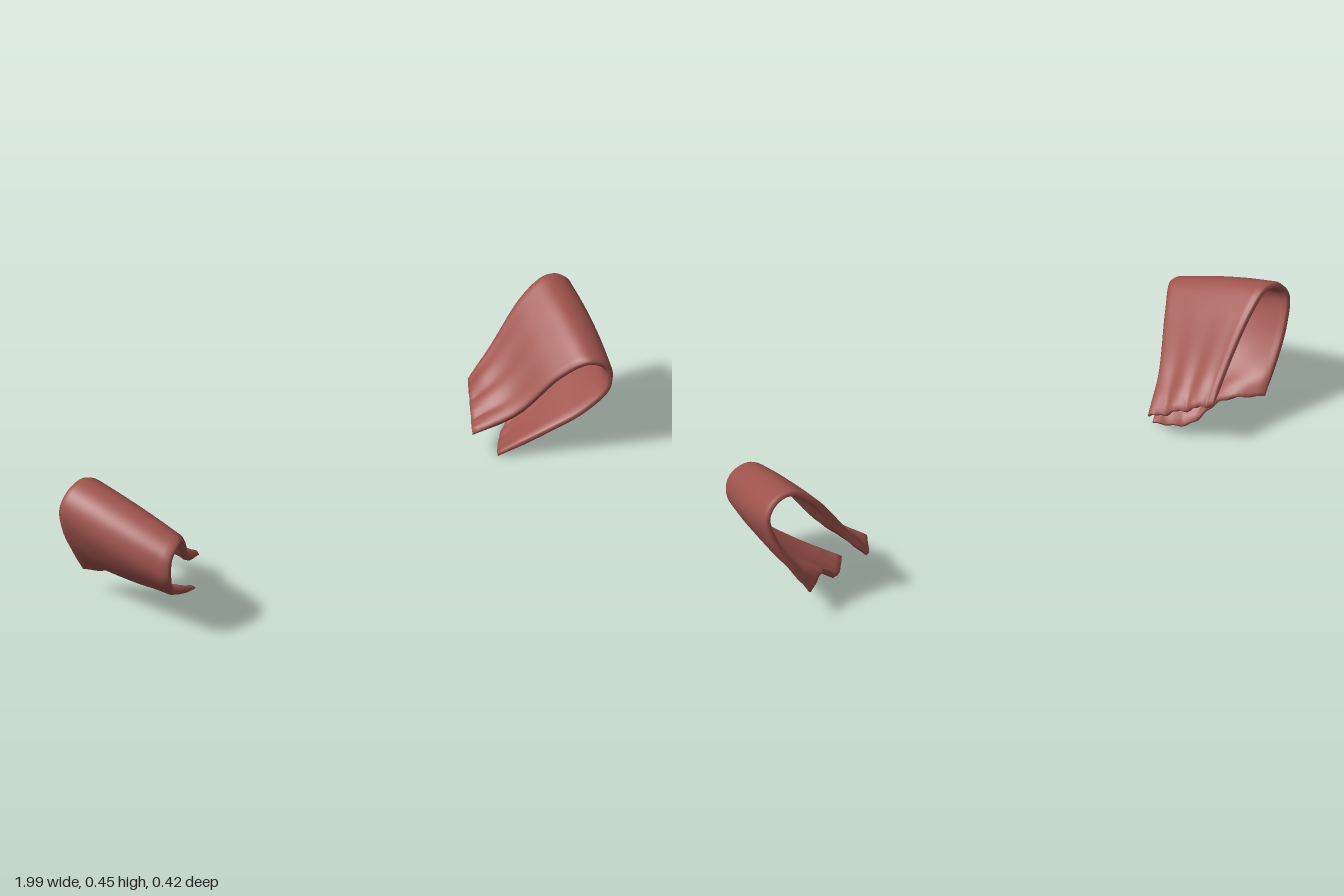
import * as THREE from 'three';

// Edge lines of one folded cloth, from the outer flap's hem over the crest to the inner flap's hem
const frontEdge = [
  [0.59, 0.015, 0], [0.71, 0.085, 0.08], [0.80, 0.155, 0.15], [0.855, 0.24, 0.2], [0.85, 0.305, 0.2],
  [0.80, 0.335, 0.18], [0.735, 0.285, 0.12], [0.64, 0.15, 0.03], [0.535, 0.085, -0.05],
];
const backEdge = [
  [0.862, 0.10, -0.195], [0.91, 0.19, -0.185], [0.965, 0.295, -0.165], [0.985, 0.385, -0.152], [0.955, 0.43, -0.15],
  [0.90, 0.443, -0.155], [0.83, 0.395, -0.17], [0.72, 0.25, -0.19], [0.655, 0.16, -0.21],
];
// Outward swell of the cloth between the two edges, in x and y
const swell = [[0, 0], [0.01, -0.006], [0.012, -0.006], [0.012, 0], [0.008, 0.005], [0, 0.006], [0, 0.004], [0, 0], [0, 0]];
const vec = (p) => new THREE.Vector3(...p);

function between(t) {
  return frontEdge.map((p, i) => {
    const q = vec(p).lerp(vec(backEdge[i]), t);
    q.x += swell[i][0];
    q.y += swell[i][1];
    return q;
  });
}

// Stations from front to back; the outer hem has a notch near the back
const stations = [frontEdge.map(vec), between(1 / 3), between(2 / 3), backEdge.map(vec)];
stations[1][0].set(0.665, 0.018, -0.075);
stations[2][0].set(0.75, 0.085, -0.115);
const curves = stations.map((pts) => new THREE.CatmullRomCurve3(pts));

function surface(u, v) {
  const line = new THREE.CatmullRomCurve3(curves.map((c) => c.getPoint(u)));
  const p = line.getPoint(v);
  // soft folds on the inner flap and slight unevenness at the hems
  const inner = THREE.MathUtils.smoothstep(u, 0.72, 1);
  p.y += 0.005 * inner * Math.sin(v * 19);
  const hem = THREE.MathUtils.smoothstep(Math.abs(u - 0.5), 0.44, 0.5);
  p.y += 0.003 * hem * Math.sin(v * 41);
  return p;
}

function foldGeometry(side) {
  const rows = 64;
  const vs = [0, 0.015, 0.04];
  for (let k = 1; k < 24; k++) vs.push(0.04 + (0.92 * k) / 24);
  vs.push(0.96, 0.985, 1);
  const n = vs.length, ring = 2 * n, e = 0.004;
  const pos = [], index = [];
  const tri = (a, b, c) => (side > 0 ? index.push(a, b, c) : index.push(a, c, b));
  for (let i = 0; i <= rows; i++) {
    const u = i / rows;
    const outer = [], inner = [];
    vs.forEach((v) => {
      const p = surface(u, v);
      const du = surface(Math.min(1, u + e), v).sub(surface(Math.max(0, u - e), v));
      const dv = surface(u, Math.min(1, v + e)).sub(surface(u, Math.max(0, v - e)));
      const normal = dv.cross(du).normalize();
      // thickness rounds off at the rims and thins at the hems
      const rim = Math.min(1, 0.45 + Math.min(v, 1 - v) * 14);
      const half = 0.012 * rim * Math.min(1, 0.5 + Math.min(u, 1 - u) * 8);
      outer.push(p.clone().addScaledVector(normal, half));
      inner.push(p.clone().addScaledVector(normal, -half));
    });
    [...outer, ...inner.reverse()].forEach((p) => pos.push(side * p.x, Math.max(0, p.y), p.z));
  }
  for (let i = 0; i < rows; i++) {
    for (let j = 0; j < ring; j++) {
      const k = (j + 1) % ring;
      const a = i * ring + j, b = i * ring + k, c = b + ring, d = a + ring;
      tri(a, b, c);
      tri(a, c, d);
    }
  }
  // Close both hems
  for (let j = 0; j < n - 1; j++) {
    const m = ring - 1 - j, top = rows * ring;
    tri(j, m, j + 1);
    tri(m, m - 1, j + 1);
    tri(top + j, top + j + 1, top + m);
    tri(top + m, top + j + 1, top + m - 1);
  }
  const g = new THREE.BufferGeometry();
  g.setAttribute('position', new THREE.Float32BufferAttribute(pos, 3));
  g.setIndex(index);
  g.computeVertexNormals();
  return g;
}

export function createModel() {
  const cloth = new THREE.MeshStandardMaterial({ color: 0xa0544e });
  cloth.name = 'dull red cloth';
  const group = new THREE.Group();
  group.name = 'shoulderCloths';
  for (const [name, side] of [['leftFoldedCloth', 1], ['rightFoldedCloth', -1]]) {
    const mesh = new THREE.Mesh(foldGeometry(side), cloth);
    mesh.name = name;
    group.add(mesh);
  }
  return group;
}
